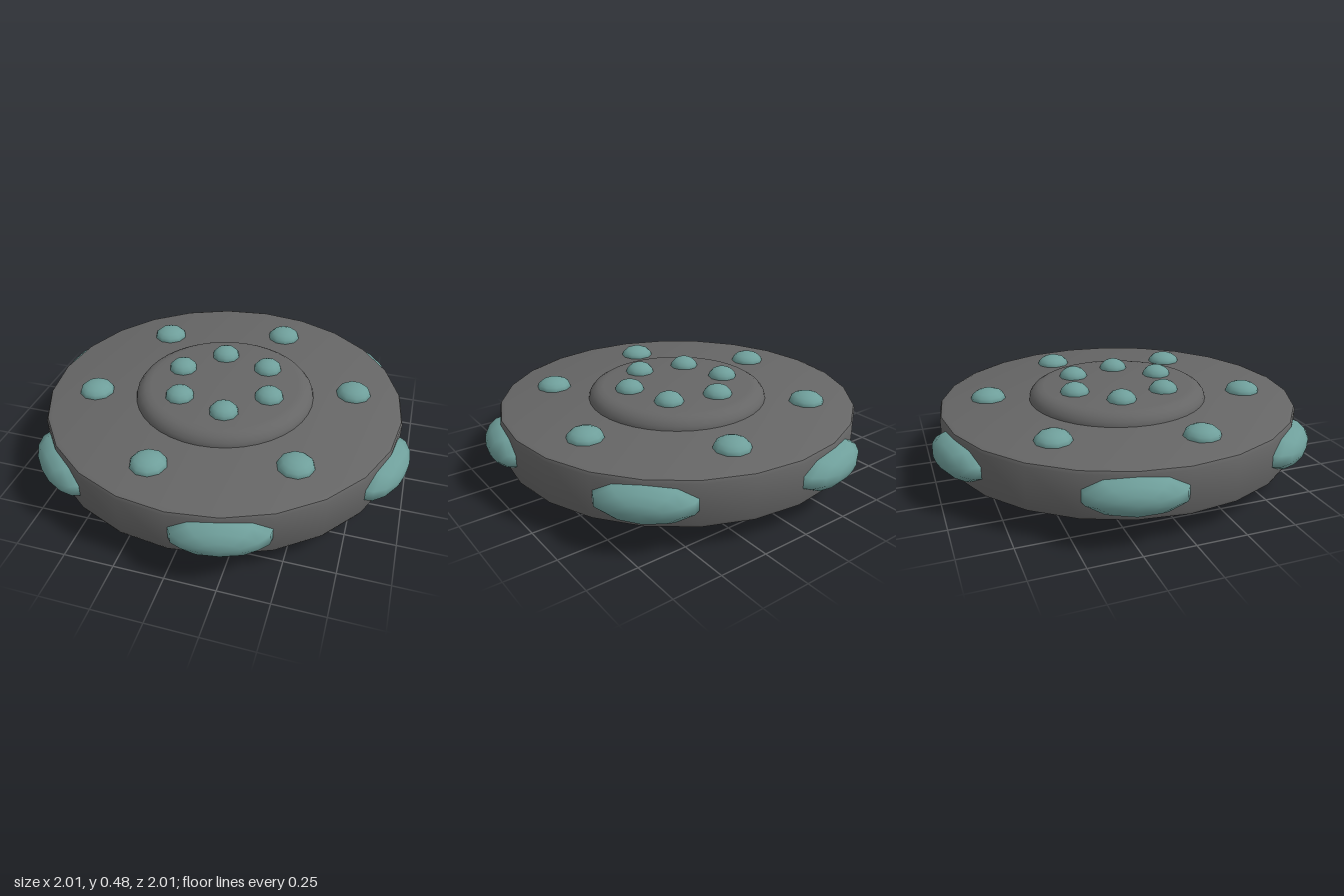
import * as THREE from 'three';
import { toCreasedNormals } from 'three/addons/utils/BufferGeometryUtils.js';

const MID = 0.243; // height of the mirror plane

export function createModel() {
  const model = new THREE.Group();
  model.name = 'studdedDisc';
  const grey = new THREE.MeshStandardMaterial({ color: 0x666666 });
  grey.name = 'dark grey';
  const teal = new THREE.MeshStandardMaterial({ color: 0x6f9f9b });
  teal.name = 'muted teal';

  // Solid turned about y from the upper half of its profile, mirrored below
  const turned = (name, upper, sides) => {
    const lower = upper.map(([r, y]) => [r, -y]).reverse();
    const points = [...lower, ...upper].map(([r, y]) => new THREE.Vector2(r, y));
    const geometry = toCreasedNormals(new THREE.LatheGeometry(points, sides), 0.7);
    const mesh = new THREE.Mesh(geometry, grey);
    mesh.name = name;
    model.add(mesh);
  };
  turned('wheelDisc', [[0.942, 0.1], [0.935, 0.115], [0.915, 0.122], [0, 0.122]], 24);
  turned('hub', [[0.474, 0.125], [0.468, 0.145], [0.45, 0.167], [0.425, 0.182], [0.395, 0.187], [0, 0.187]], 40);

  const dome = new THREE.SphereGeometry(1, 10, 8);

  // Ring of six domes on both the top and bottom faces
  const faceStuds = (name, radius, height, width, start) => {
    for (const side of [1, -1]) {
      for (let i = 0; i < 6; i++) {
        const a = start + (i * Math.PI) / 3;
        const stud = new THREE.Mesh(dome, teal);
        stud.name = name;
        stud.position.set(radius * Math.cos(a), side * height, radius * Math.sin(a));
        stud.scale.set(width, 0.053, width);
        model.add(stud);
      }
    }
  };
  faceStuds('outerStud', 0.69, 0.122, 0.092, -Math.PI / 12);
  faceStuds('hubStud', 0.267, 0.187, 0.076, Math.PI / 12);

  // Six wide bumps around the rim, poles pointing outwards
  for (let i = 0; i < 6; i++) {
    const arm = new THREE.Group();
    arm.name = 'rimBump';
    arm.rotation.y = -(Math.PI / 12 + (i * Math.PI) / 3);
    const bump = new THREE.Mesh(dome, teal);
    bump.name = 'rimBumpDome';
    bump.position.x = 0.9;
    bump.rotation.z = -Math.PI / 2;
    bump.scale.set(0.1, 0.125, 0.25);
    arm.add(bump);
    model.add(arm);
  }

  model.position.set(-0.004, MID, -0.005);
  const root = new THREE.Group();
  root.name = 'model';
  root.add(model);
  return root;
}
